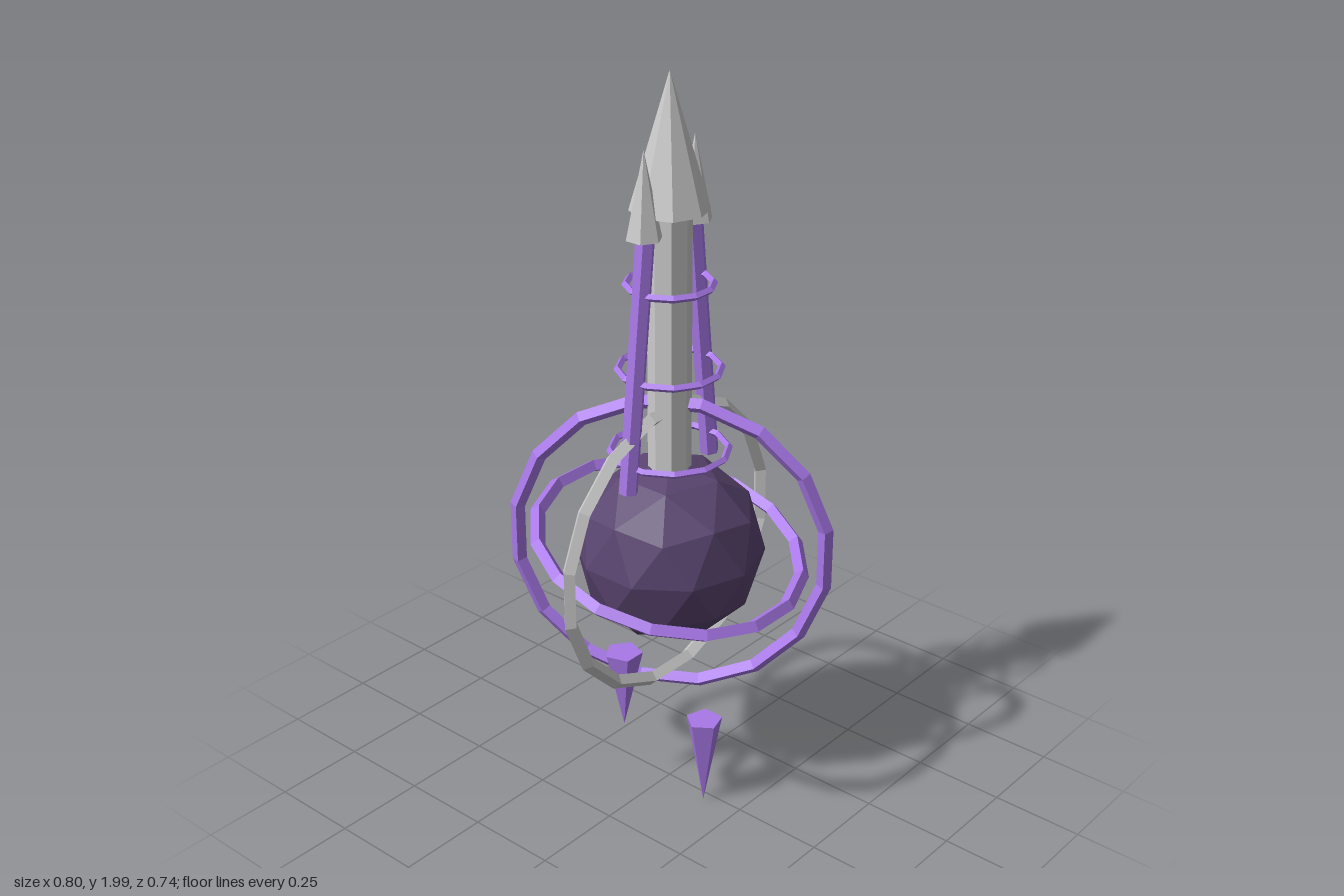
import * as THREE from 'three';

const material = (color) => new THREE.MeshStandardMaterial({ color, flatShading: true });

export function createModel() {
  const group = new THREE.Group();
  const steel = material(0xcccccc);
  const violet = material(0xa878e8);
  const dark = material(0x5a4570);
  const coreY = 0.74;

  const add = (name, geometry, mat, x = 0, y = 0, z = 0) => {
    const mesh = new THREE.Mesh(geometry, mat);
    mesh.name = name;
    mesh.position.set(x, y, z);
    group.add(mesh);
    return mesh;
  };

  // Ring with a diamond section, flats facing the axes
  const ring = (radius, tube, sides) =>
    new THREE.TorusGeometry(radius, tube, 4, sides).rotateZ(Math.PI / sides);

  // Faceted core, one corner pointing straight up
  const core = new THREE.IcosahedronGeometry(0.25, 1);
  core.rotateZ(-Math.atan(2 / (1 + Math.sqrt(5))));
  add('core', core, dark, 0, coreY);

  // Central shaft and spear head
  add('shaft', new THREE.CylinderGeometry(0.056, 0.056, 1.16, 8), steel, 0, 1.08);
  add('spearHead', new THREE.ConeGeometry(0.1, 0.34, 8), steel, 0, 1.83);

  // Leaning side prongs with their small tips
  for (const side of [1, -1]) {
    const bottom = new THREE.Vector3(side * 0.16, 0.955, 0);
    const top = new THREE.Vector3(side * 0.089, 1.62, 0);
    const prong = add(side > 0 ? 'leftProng' : 'rightProng',
      new THREE.CylinderGeometry(0.025, 0.025, bottom.distanceTo(top), 6), violet);
    prong.position.copy(bottom).lerp(top, 0.5);
    prong.quaternion.setFromUnitVectors(new THREE.Vector3(0, 1, 0), top.clone().sub(bottom).normalize());
    add(side > 0 ? 'leftProngTip' : 'rightProngTip',
      new THREE.ConeGeometry(0.046, 0.22, 6), steel, side * 0.094, 1.72);
  }

  // Binding rings up the shaft
  [[0.152, 1.02], [0.131, 1.245], [0.109, 1.47]].forEach(([radius, y], i) => {
    add(`bindingRing${i + 1}`, ring(radius, 0.01, 12).rotateX(Math.PI / 2), violet, 0, y);
  });

  // Orbit rings around the core
  add('frontOrbitRing', ring(0.388, 0.02, 16), steel, 0, coreY + 0.005);
  const tilted = ring(0.355, 0.02, 16).rotateX(Math.PI / 2 + Math.PI / 12);
  add('tiltedOrbitRing', tilted, violet, 0, coreY + 0.005);
  add('uprightOrbitRing', ring(0.415, 0.02, 16).rotateY(-Math.PI / 3), violet, 0, coreY);

  // Floating shards pointing down: x, tip y, z, height, radius, turn
  [
    [-0.026, 0.01, 0.143, 0.26, 0.05, 0.3],
    [-0.097, 0.195, -0.08, 0.23, 0.052, 0],
    [0.11, 0.375, -0.058, 0.205, 0.048, 0.6],
  ].forEach(([x, y, z, height, radius, turn], i) => {
    const shard = new THREE.ConeGeometry(radius, height, 5).rotateX(Math.PI).rotateY(turn);
    add(`shard${i + 1}`, shard, violet, x, y + height / 2, z);
  });

  return group;
}
